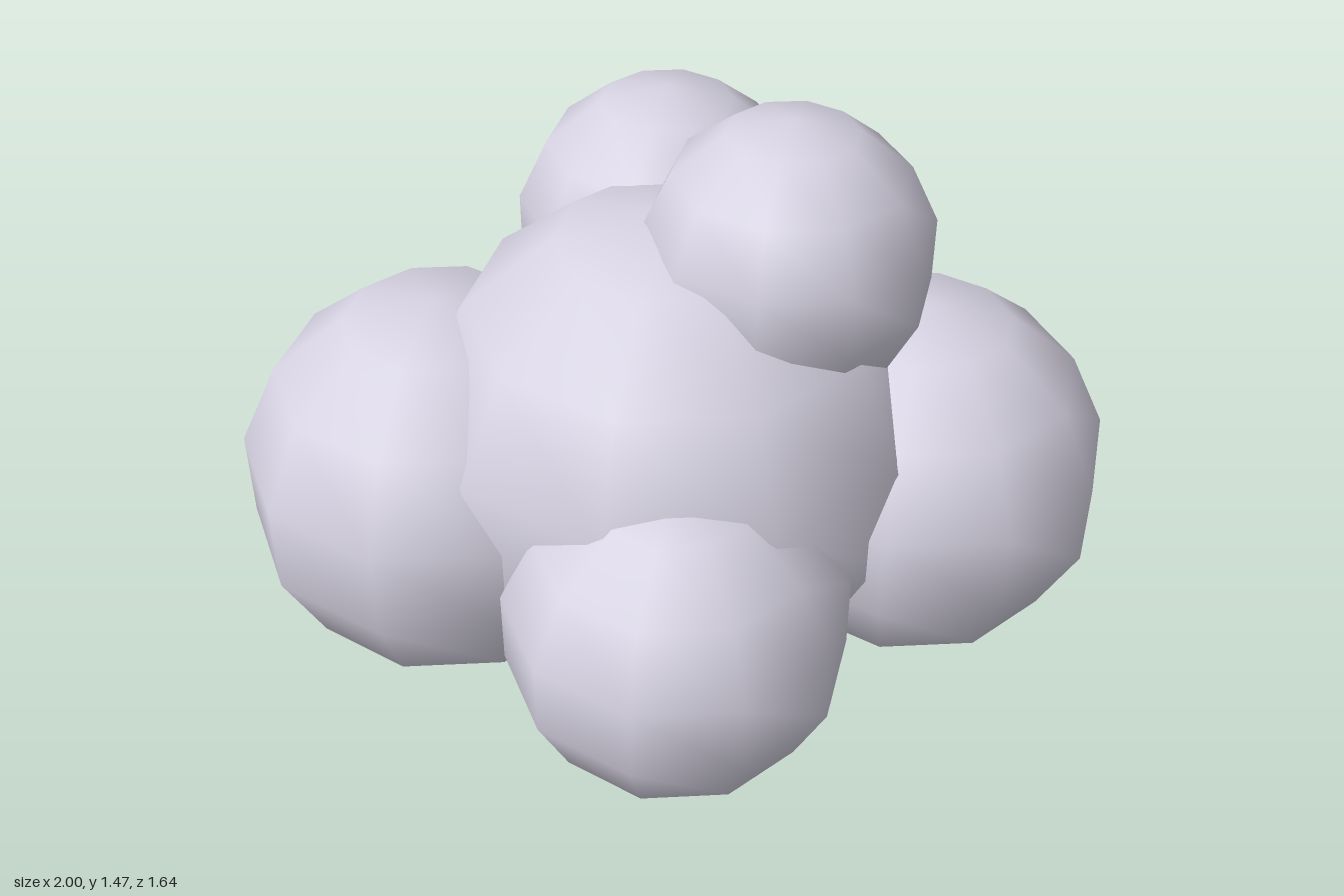
import * as THREE from 'three';

export function createModel() {
  const group = new THREE.Group();
  group.name = 'cloud';

  const cloudGrey = new THREE.MeshStandardMaterial({ color: 0xd6d2e2 });
  cloudGrey.name = 'cloudGrey';

  // Each puff: name, radius, centre
  const puffs = [
    ['corePuff', 0.62, [0, 0.625, -0.018]],
    ['rightPuff', 0.5, [-0.536, 0.505, 0.105]],
    ['leftPuff', 0.47, [0.563, 0.505, -0.205]],
    ['frontPuff', 0.405, [0.122, 0.44, 0.423]],
    ['topPuff', 0.341, [0.25, 1.134, -0.082]],
    ['backPuff', 0.375, [-0.128, 0.945, -0.455]],
  ];

  // Coarse, smoothly shaded spheres with a corner facing the front
  for (const [name, radius, centre] of puffs) {
    const puff = new THREE.Mesh(new THREE.SphereGeometry(radius, 10, 7, Math.PI / 2), cloudGrey);
    puff.name = name;
    puff.position.set(...centre);
    group.add(puff);
  }
  return group;
}
